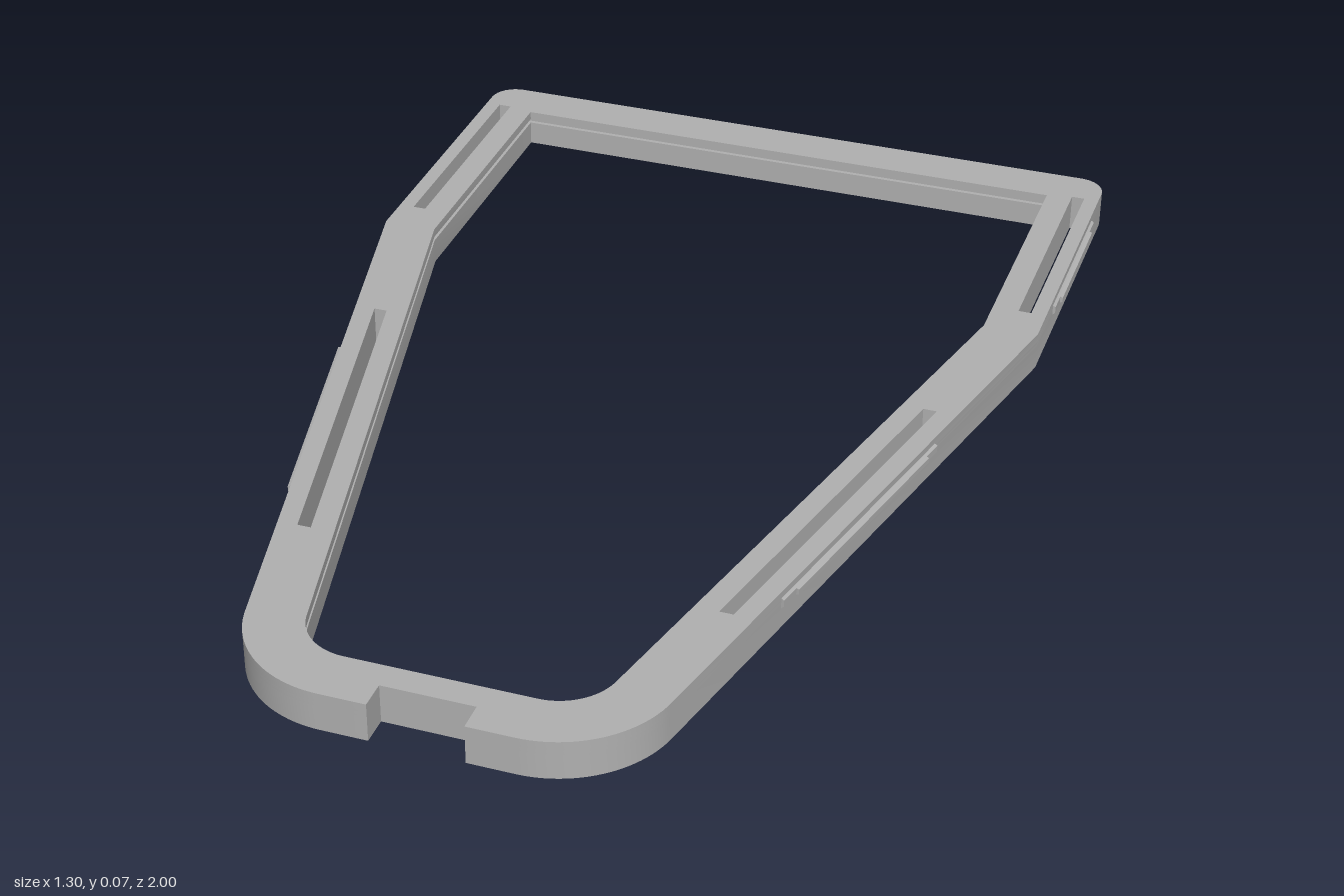
import * as THREE from 'three';
import { toCreasedNormals } from 'three/addons/utils/BufferGeometryUtils.js';

const HEIGHT = 0.07;
const TILT = Math.atan(0.231); // lean of the tapering sides

const v = (x, z) => new THREE.Vector2(x, z);

// Points on a circular corner, drawn in the x-z plane
function arc(cx, cz, r, from, to, n) {
  return Array.from({ length: n + 1 }, (_, i) => {
    const a = from + (to - from) * i / n;
    return v(cx + r * Math.cos(a), cz + r * Math.sin(a));
  });
}

// Closes a right-hand half outline with its mirror image
const mirrored = half => [...half, ...half.slice().reverse().map(p => v(-p.x, p.y))];

// Outer edge with rounded corners and the front notch
const outer = mirrored([
  ...arc(0.59, -0.95, 0.05, -Math.PI / 2, 0, 8),
  v(0.64, -0.39),
  ...arc(0.16, 0.8, 0.2, TILT, Math.PI / 2, 24),
  v(0.08, 1), v(0.08, 0.95),
]);

// Inner opening, grown by g
const inner = g => mirrored([
  v(0.54 + g, -0.91 - g),
  v(0.54 + g, -0.39),
  ...arc(0.16, 0.8, 0.101 + g, TILT, Math.PI / 2, 24),
]);

// Through slots in the sides
const slots = [1, -1].flatMap(s => [
  [v(s * 0.588, -0.92), v(s * 0.612, -0.92), v(s * 0.612, -0.46), v(s * 0.588, -0.46)],
  [v(s * 0.507, -0.08), v(s * 0.531, -0.08), v(s * 0.376, 0.6), v(s * 0.352, 0.6)],
]);

// One horizontal layer of the frame
function layer(bottom, top, g) {
  const shape = new THREE.Shape(outer);
  shape.holes = [inner(g), ...slots].map(pts => new THREE.Path(pts));
  const geo = new THREE.ExtrudeGeometry(shape, { depth: top - bottom, bevelEnabled: false });
  geo.rotateX(Math.PI / 2).translate(0, top, 0);
  return toCreasedNormals(geo, 0.5);
}

// Ridge with sloped faces, running along z and sticking out to +x
function ridge(length, depth, low, high) {
  const shape = new THREE.Shape([
    v(-0.004, low), v(0, low), v(depth, low + 0.005), v(depth, high - 0.003), v(0, high), v(-0.004, high),
  ]);
  const geo = new THREE.ExtrudeGeometry(shape, { depth: length, bevelEnabled: false });
  return geo.translate(0, 0, -length / 2);
}

export function createModel() {
  const group = new THREE.Group();
  const grey = new THREE.MeshStandardMaterial({ color: 0xb0b0b0 });
  grey.name = 'grey';

  function add(name, geo, parent = group) {
    const mesh = new THREE.Mesh(geo, grey);
    mesh.name = name;
    parent.add(mesh);
    return mesh;
  }

  // Frame, with a shallow groove around its inner wall
  add('frameBase', layer(0, 0.046, 0));
  add('frameGroove', layer(0.046, 0.054, 0.008));
  add('frameTop', layer(0.054, HEIGHT, 0));

  // Snap ridges on the outer sides: a long low one under a short high one
  const catches = [
    { name: 'rear', x: 0.64, z: -0.69, angle: 0, long: 0.34, short: 0.26 },
    { name: 'front', x: 0.64 - 0.231 * (0.26 + 0.39), z: 0.26, angle: -TILT, long: 0.53, short: 0.45 },
  ];
  for (const c of catches) {
    for (const side of [1, -1]) {
      const holder = new THREE.Group();
      holder.name = (side > 0 ? 'left' : 'right') + (c.name === 'rear' ? 'RearCatch' : 'FrontCatch');
      holder.position.set(side * c.x, 0, c.z);
      // The ridge is symmetric along its length, so a turn mirrors it
      holder.rotation.y = side > 0 ? c.angle : Math.PI - c.angle;
      add('longRidge', ridge(c.long, 0.005, 0.038, 0.058), holder);
      add('shortRidge', ridge(c.short, 0.01, 0.04, 0.057), holder);
      group.add(holder);
    }
  }
  return group;
}
